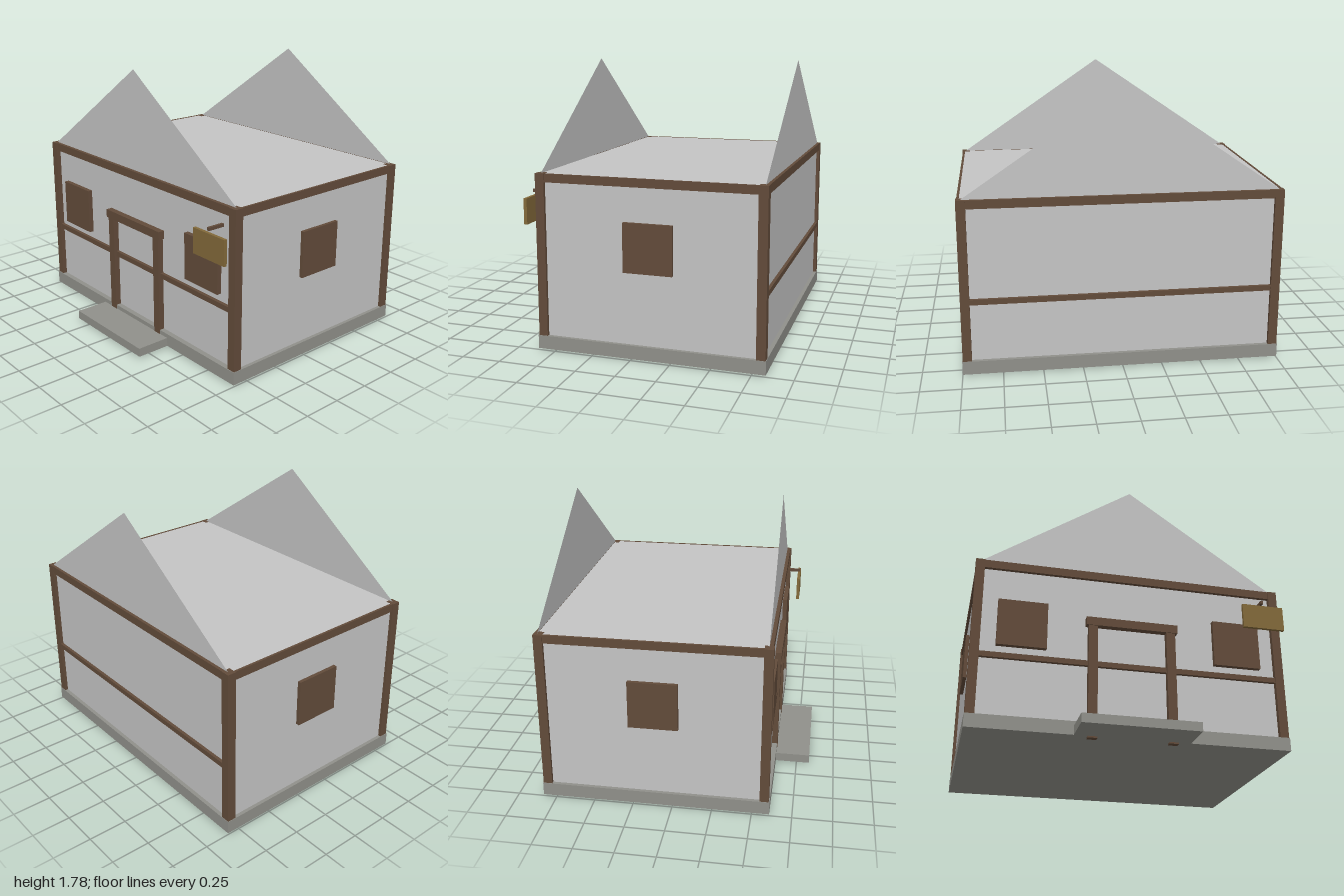
import * as THREE from 'three';

const flat = (name, color, side = THREE.FrontSide) => {
  const m = new THREE.MeshStandardMaterial({ color, side });
  m.name = name;
  return m;
};

export function createModel() {
  const house = new THREE.Group();
  house.name = 'house';
  const plaster = flat('plaster', 0xc4c4c4, THREE.DoubleSide);
  const timber = flat('timber', 0x624b3a);
  const stone = flat('stone', 0x90908a);
  const signWood = flat('signWood', 0x82693a);

  // Box given by its two extents on each axis
  const box = (name, mat, [x0, x1], [y0, y1], [z0, z1]) => {
    const mesh = new THREE.Mesh(new THREE.BoxGeometry(x1 - x0, y1 - y0, z1 - z0), mat);
    mesh.position.set((x0 + x1) / 2, (y0 + y1) / 2, (z0 + z1) / 2);
    mesh.name = name;
    house.add(mesh);
  };
  // The same box on the +x and -x side
  const pair = (name, mat, [x0, x1], y, z) => {
    box(name + 'Left', mat, [x0, x1], y, z);
    box(name + 'Right', mat, [-x1, -x0], y, z);
  };

  const wallX = 0.977, front = 0.575, back = -0.81, top = 1.12;

  // Foundation, walls and doorstep
  box('foundation', stone, [-1, 1], [0.01, 0.095], [-0.835, 0.61]);
  box('walls', plaster, [-wallX, wallX], [0.05, top - 0.002], [back, front]);
  box('doorstep', stone, [-0.36, 0.355], [0.01, 0.067], [0.605, 0.835]);

  // Thin gable triangles standing on the front and back walls
  const triangle = new THREE.Shape([
    new THREE.Vector2(-wallX, top - 0.005),
    new THREE.Vector2(wallX, top - 0.005),
    new THREE.Vector2(0, 1.78),
  ]);
  for (const [name, z] of [['gableFront', front], ['gableBack', back]]) {
    const gable = new THREE.Mesh(new THREE.ShapeGeometry(triangle), plaster);
    gable.position.z = z;
    gable.name = name;
    house.add(gable);
  }

  // Corner posts
  pair('frontPost', timber, [0.94, 0.997], [0.095, top], [0.548, 0.605]);
  pair('backPost', timber, [0.94, 0.997], [0.095, top], [-0.832, -0.775]);

  // Top beams and middle rails
  pair('sideBeam', timber, [wallX, 0.992], [1.067, top], [-0.82, 0.59]);
  for (const [name, z] of [['front', [front, 0.598]], ['back', [-0.83, back]]]) {
    box(name + 'Beam', timber, [-0.99, 0.99], [1.067, top], z);
    box(name + 'Rail', timber, [-0.95, 0.95], [0.463, 0.497], z);
  }

  // Shutters on the front and side walls
  pair('frontShutter', timber, [0.535, 0.843], [0.547, 0.853], [front, 0.606]);
  pair('sideShutter', timber, [0.97, 1], [0.547, 0.853], [-0.268, 0.042]);

  // Door frame
  pair('doorPost', timber, [0.22, 0.278], [0, 0.735], [front, 0.613]);
  box('doorLintel', timber, [-0.293, 0.293], [0.733, 0.788], [front, 0.618]);

  // Hanging sign and its bracket
  box('signBracket', timber, [0.845, 0.863], [0.977, 0.997], [front, 0.688]);
  box('signBoard', signWood, [0.718, 0.993], [0.797, 0.96], [0.667, 0.688]);

  return house;
}
